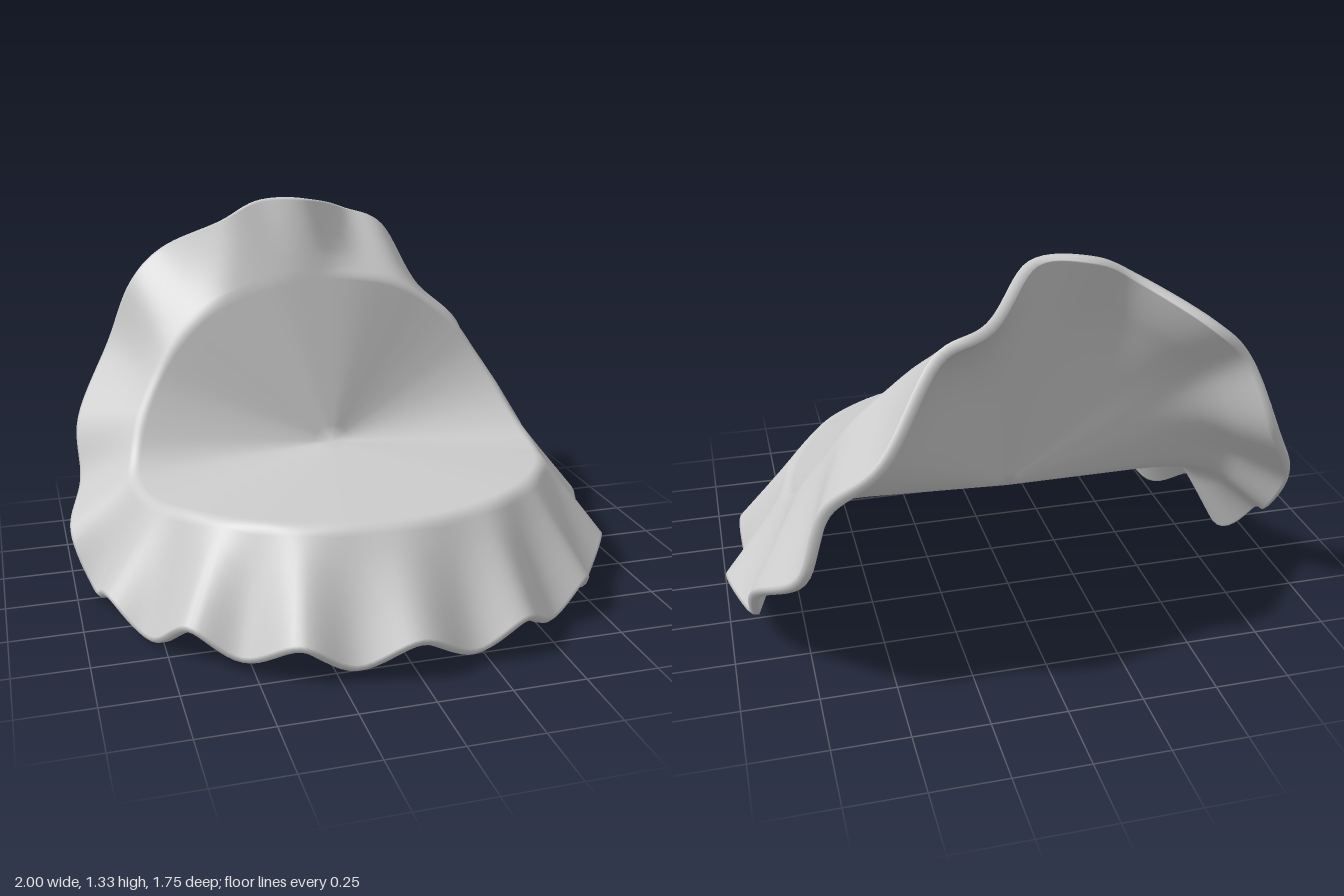
import * as THREE from 'three';

// Matching stations of the ruffled rim and the crease, from the front round by +x
const RIM = [
  [0, .15, .87], [.2, .06, .82], [.38, .15, .81], [.54, .06, .67], [.7, .15, .58], [.79, .035, .4],
  [.92, .15, .25], [.93, .05, .05], [1, .165, -.18], [.94, .15, -.4], [.93, .33, -.57], [.8, .48, -.77],
  [.72, .73, -.81], [.55, .9, -.87], [.37, 1.17, -.78], [.2, 1.25, -.75], [0, 1.33, -.475],
  [-.2, 1.335, -.49], [-.36, 1.26, -.5], [-.56, 1.145, -.65], [-.69, 1.01, -.66], [-.78, .77, -.72],
  [-.925, .52, -.55], [-.94, .32, -.41], [-1, .2, -.2], [-.94, .03, -.04], [-.92, .13, .22], [-.8, .03, .39],
  [-.7, .15, .58], [-.54, .06, .67], [-.38, .15, .81], [-.2, .06, .82],
];
const CREASE = [
  [0, .46, .63], [.17, .46, .612], [.31, .46, .565], [.43, .46, .5], [.54, .455, .405], [.64, .445, .28],
  [.71, .435, .14], [.755, .425, 0], [.767, .44, -.14], [.75, .505, -.25], [.71, .6, -.335], [.65, .71, -.39],
  [.57, .82, -.415], [.46, .92, -.42], [.33, 1, -.41], [.17, 1.045, -.39], [0, 1.06, -.38],
  [-.17, 1.045, -.37], [-.33, 1, -.375], [-.46, .93, -.375], [-.57, .82, -.37], [-.65, .7, -.35],
  [-.71, .58, -.3], [-.75, .47, -.23], [-.765, .41, -.14], [-.755, .395, 0], [-.71, .405, .14],
  [-.64, .425, .28], [-.54, .44, .405], [-.43, .45, .5], [-.31, .455, .565], [-.17, .46, .612],
];
const CENTRE = new THREE.Vector3(0, .445, -.215);
const STEPS = 256;
const THICKNESS = .035;

const loop = pts => new THREE.CatmullRomCurve3(pts.map(p => new THREE.Vector3(...p)), true, 'catmullrom', .5);

// Points along one spoke: flat disc, crease rounded between two fractions, flaring ruffle
function spoke(crease, rim, inner, outer) {
  const a = CENTRE.clone().lerp(crease, inner);
  const b = crease.clone().lerp(rim, outer);
  const pts = [];
  for (const f of [.1, .35, .65, .9]) pts.push(CENTRE.clone().lerp(a, f));
  pts.push(...new THREE.QuadraticBezierCurve3(a, crease, b).getPoints(6));
  for (const f of [.15, .3, .5, .7, .88, .97, 1]) pts.push(b.clone().lerp(rim, f));
  return pts;
}

// Triangles for rings of STEPS points that follow the centre point
function stitch(index, rows) {
  for (let r = 0; r < rows - 1; r++) {
    for (let j = 0; j < STEPS; j++) {
      const k = (j + 1) % STEPS;
      const a = 1 + r * STEPS + j, b = 1 + r * STEPS + k;
      index.push(a, a + STEPS, b + STEPS, a, b + STEPS, b);
    }
  }
}

function makeGeometry(points, index) {
  const g = new THREE.BufferGeometry().setFromPoints(points);
  g.setIndex(index);
  g.computeVertexNormals();
  return g;
}

export function createModel() {
  const rimCurve = loop(RIM);
  const creaseCurve = loop(CREASE);

  // One skin, ring by ring outwards from the centre point
  const skin = (inner, outer) => {
    const spokes = [];
    for (let j = 0; j < STEPS; j++) {
      spokes.push(spoke(creaseCurve.getPoint(j / STEPS), rimCurve.getPoint(j / STEPS), inner, outer));
    }
    const points = [CENTRE.clone()];
    for (let r = 0; r < spokes[0].length; r++) for (const s of spokes) points.push(s[r]);
    return points;
  };
  const points = skin(.965, .09);
  const soft = skin(.65, .4);
  const rows = (points.length - 1) / STEPS;

  const index = [];
  for (let j = 0; j < STEPS; j++) index.push(0, 1 + j, 1 + (j + 1) % STEPS);
  const skinIndex = [...index];
  stitch(skinIndex, rows);

  // Lower skin: softer crease, offset along its normals
  const normals = makeGeometry(soft, skinIndex).attributes.normal;
  const under = soft.map((p, i) =>
    p.clone().addScaledVector(new THREE.Vector3().fromBufferAttribute(normals, i), -THICKNESS));

  // Slightly bulged edge joins the skins, then the lower skin runs back to the centre
  for (let j = 0; j < STEPS; j++) {
    const i = 1 + (rows - 1) * STEPS + j;
    const out = points[i].clone().sub(points[i - STEPS]).normalize();
    points.push(points[i].clone().lerp(under[i], .5).addScaledVector(out, .006));
  }
  for (let r = rows - 1; r >= 0; r--) {
    for (let j = 0; j < STEPS; j++) points.push(under[1 + r * STEPS + j]);
  }
  points.push(under[0]);
  stitch(index, rows * 2 + 1);
  const last = points.length - 1;
  for (let j = 0; j < STEPS; j++) {
    index.push(last - STEPS + j, last, last - STEPS + (j + 1) % STEPS);
  }

  const geometry = makeGeometry(points, index);
  // Rest the lowest ruffle on the ground
  geometry.computeBoundingBox();
  geometry.translate(0, -geometry.boundingBox.min.y, 0);

  const sheet = new THREE.Mesh(geometry, new THREE.MeshStandardMaterial({ color: 0xcccccc }));
  sheet.name = 'ruffledSheet';
  const group = new THREE.Group();
  group.name = 'foldedRuffledDisc';
  group.add(sheet);
  return group;
}
